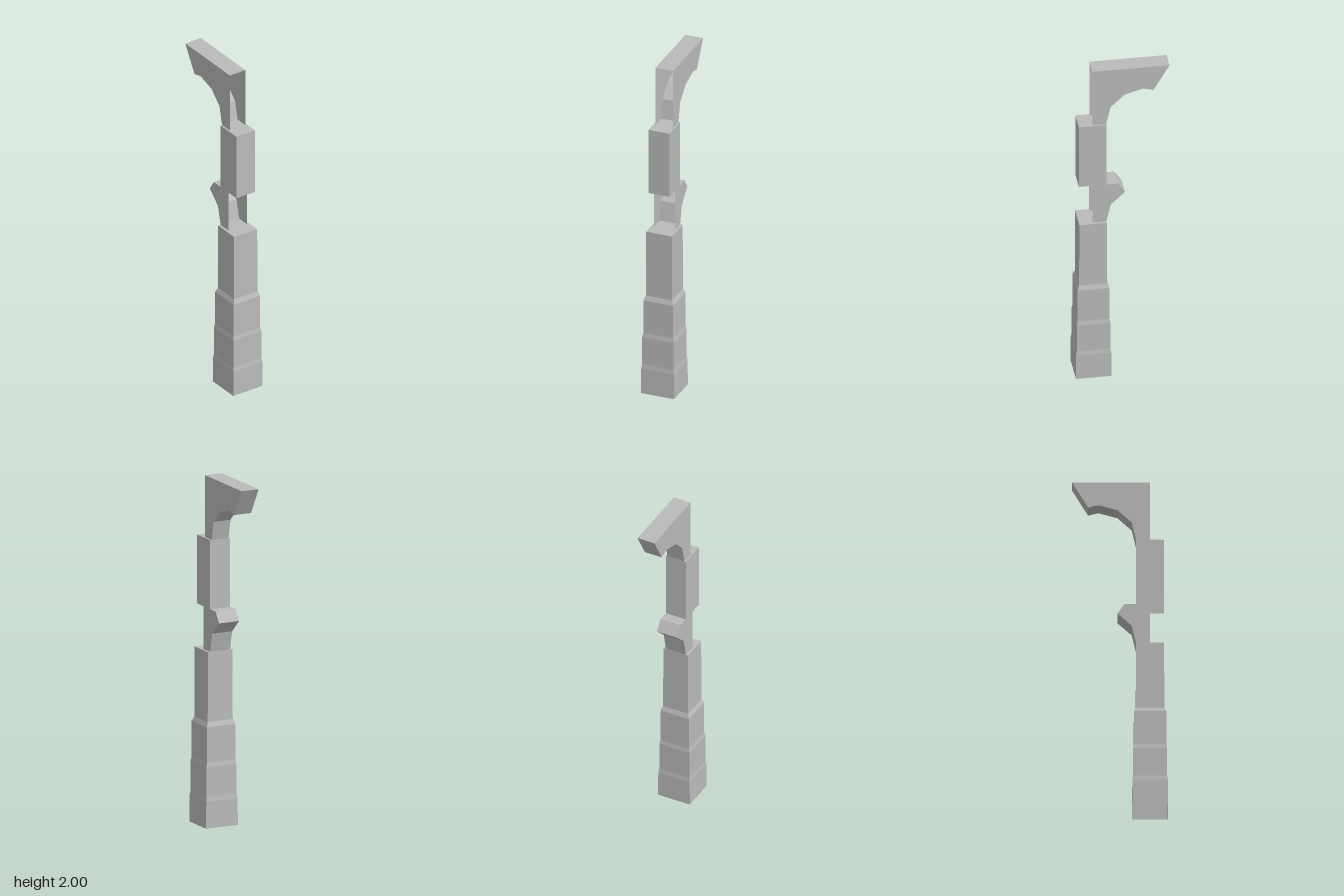
import * as THREE from 'three';

const CENTRE_Z = 0.167; // axis of the post

// Flat-shaded geometry from a list of triangles' corner points
function fromCorners(corners) {
  const geometry = new THREE.BufferGeometry().setFromPoints(corners);
  geometry.computeVertexNormals();
  return geometry;
}

// a, b, c, d run counter-clockwise seen from outside
const quad = (a, b, c, d) => [a, b, c, a, c, d];

// Rectangular shell through rings [y, half width, half depth]; top closed, bottom open
function postShell(rings) {
  const loops = rings.map(([y, w, d]) =>
    [[w, d], [w, -d], [-w, -d], [-w, d]].map(([x, z]) => new THREE.Vector3(x, y, CENTRE_Z + z)));
  const corners = [];
  for (let i = 0; i < loops.length - 1; i++) {
    const lo = loops[i], hi = loops[i + 1];
    for (let k = 0; k < 4; k++) {
      const n = (k + 1) % 4;
      corners.push(...quad(lo[k], lo[n], hi[n], hi[k]));
    }
  }
  corners.push(...quad(...loops[loops.length - 1]));
  return fromCorners(corners);
}

// Hollow bracket from a side profile [z, y] along its back; the front stays open
function bracketShell(profile, halfWidth) {
  const at = (x, [z, y]) => new THREE.Vector3(x, y, z);
  const corners = [];
  for (let i = 0; i < profile.length - 1; i++) {
    const p = profile[i], q = profile[i + 1];
    corners.push(...quad(at(halfWidth, p), at(-halfWidth, p), at(-halfWidth, q), at(halfWidth, q)));
  }
  // Side plates, closed along the front line
  const front = [[CENTRE_Z, profile[profile.length - 1][1]], [CENTRE_Z, profile[0][1]]];
  const outline = [...profile, ...front].reverse();
  const contour = outline.map(([z, y]) => new THREE.Vector2(z, y));
  for (const [a, b, c] of THREE.ShapeUtils.triangulateShape(contour, [])) {
    corners.push(...[a, b, c].map((i) => at(-halfWidth, outline[i])));
    corners.push(...[c, b, a].map((i) => at(halfWidth, outline[i])));
  }
  return fromCorners(corners);
}

export function createModel() {
  const group = new THREE.Group();
  const stone = new THREE.MeshStandardMaterial({ color: 0xbababa, side: THREE.DoubleSide });
  stone.name = 'greyStone';

  const add = (name, geometry) => {
    const mesh = new THREE.Mesh(geometry, stone);
    mesh.name = name;
    group.add(mesh);
  };

  // Stepped lower post with three bevelled setbacks
  const steps = [
    [0, 0.1], [0.153, 0.099], [0.18, 0.095], [0.35, 0.095],
    [0.375, 0.09], [0.578, 0.09], [0.605, 0.079], [1.005, 0.078],
  ];
  add('steppedPost', postShell(steps.map(([y, h]) => [y, h, h])));

  // Neck with a pointed corbel on its back
  add('lowerCorbel', bracketShell([
    [0.09, 1.005], [0.065, 1.115], [-0.015, 1.19], [0.025, 1.25], [0.09, 1.25],
  ], 0.063));

  // Upper block
  add('upperBlock', postShell([[1.25, 0.063, 0.078], [1.645, 0.063, 0.078]]));

  // Overhanging top bracket with a faceted curve below
  add('topBracket', bracketShell([
    [0.09, 1.645], [0.065, 1.755], [-0.015, 1.83], [-0.12, 1.86],
    [-0.178, 1.845], [-0.268, 2], [CENTRE_Z, 2],
  ], 0.053));

  return group;
}
